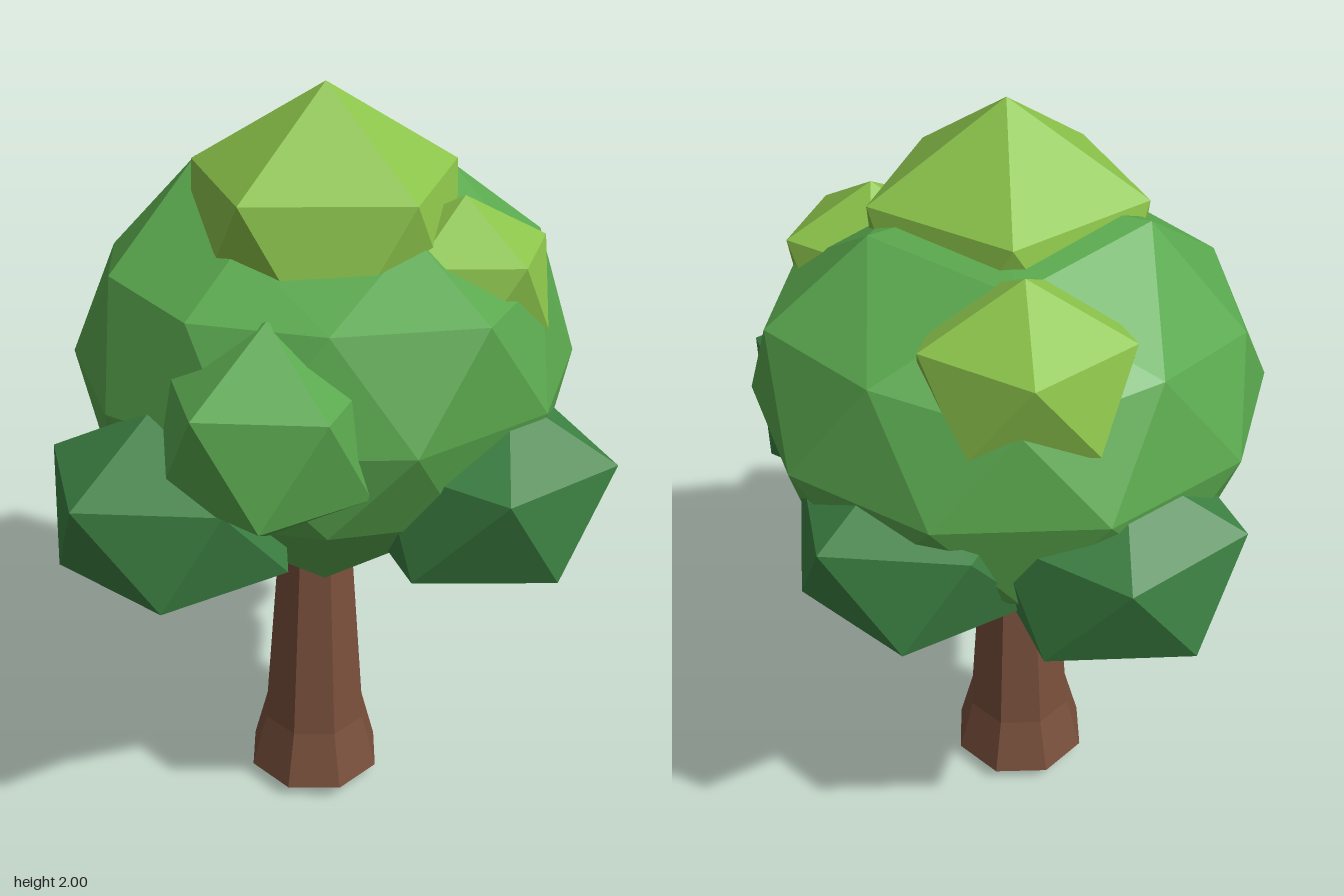
import * as THREE from 'three';

const mat = (name, color) => {
  const m = new THREE.MeshStandardMaterial({ color, flatShading: true });
  m.name = name;
  return m;
};

// Faceted ball with a vertex straight up and its upper ring starting at the given angle from +x
function ball(detail, rx, ry, degrees) {
  const g = new THREE.IcosahedronGeometry(1, detail);
  g.rotateZ(Math.atan(2 / (1 + Math.sqrt(5))));
  g.rotateY(Math.PI - THREE.MathUtils.degToRad(degrees));
  g.scale(rx, ry, rx);
  return g;
}

export function createModel() {
  const tree = new THREE.Group();
  tree.name = 'tree';
  const bark = mat('bark brown', 0x7a503c);
  const leaf = mat('leaf green', 0x5aa84e);
  const shade = mat('deep green', 0x3d8243);
  const sunny = mat('lime green', 0x8bc34a);

  const add = (name, geometry, material, x = 0, y = 0, z = 0) => {
    geometry.computeVertexNormals();
    const mesh = new THREE.Mesh(geometry, material);
    mesh.name = name;
    mesh.position.set(x, y, z);
    tree.add(mesh);
    return mesh;
  };

  // Trunk: flared foot and tapering stem, eight sides
  const turn = Math.PI / 8 + 0.14;
  const foot = new THREE.CylinderGeometry(0.148, 0.19, 0.16, 8).rotateY(turn);
  add('trunkFoot', foot, bark, 0.015, 0.12, -0.025);
  const stem = new THREE.CylinderGeometry(0.09, 0.148, 0.75, 8, 1, true).rotateY(turn);
  add('trunkStem', stem, bark, 0.015, 0.575, -0.025);

  // Root tips under the foot
  for (const [x, z] of [[0.11, -0.07], [-0.04, 0.08], [-0.1, -0.055]]) {
    const tip = new THREE.CylinderGeometry(0.05, 0.015, 0.05, 4);
    add('rootTip', tip, bark, x, 0.03, z);
  }

  // Short branches reaching up into the crown
  const up = new THREE.Vector3(0, 1, 0);
  for (const [x, z] of [[0.04, 0.24], [-0.12, -0.23]]) {
    const start = new THREE.Vector3(0.015, 0.71, -0.01);
    const dir = new THREE.Vector3(x, 0.96, z).sub(start);
    const g = new THREE.CylinderGeometry(0.035, 0.055, dir.length(), 5);
    const branch = add('branch', g, bark);
    branch.position.copy(start).addScaledVector(dir, 0.5);
    branch.quaternion.setFromUnitVectors(up, dir.normalize());
  }

  // Main crown: flat underside, fuller left shoulder, uneven ring of points round the top
  const crown = ball(1, 0.635, 0.5, 0);
  const topRing = [-0.03, -0.05, 0.05, 0, 0.03];
  const p = crown.attributes.position;
  for (let i = 0; i < p.count; i++) {
    const x = p.getX(i), y = p.getY(i), z = p.getZ(i);
    if (y < -0.4) p.setY(i, -0.475);
    else if (y > 0.4 && y < 0.48) {
      const k = Math.round(Math.atan2(z, x) / (Math.PI * 0.4));
      p.setY(i, y + topRing[(k + 5) % 5]);
    } else if (y > 0.1 && y < 0.25 && x > 0.1) {
      p.setXYZ(i, x * 1.06, y + 0.04, z * (z < 0 ? 1.03 : 0.97));
    }
  }
  add('crown', crown, leaf, 0, 1.3, -0.06);

  // Leaf clumps: name, material, centre, horizontal radius, vertical radius, angle, outward lean
  const clumps = [
    ['topClump', sunny, 0.06, 1.62, -0.015, 0.378, 0.38, 0, 0],
    ['upperRightClump', sunny, -0.3, 1.55, -0.25, 0.275, 0.225, -2, 0],
    ['upperLeftClump', sunny, 0.325, 1.55, -0.22, 0.24, 0.21, 0, 0],
    ['middleClump', leaf, 0.315, 1.31, 0.335, 0.28, 0.27, 4, 0],
    ['lowerFrontClump', shade, 0.105, 1.065, 0.475, 0.322, 0.275, 4, 0.17],
    ['lowerLeftClump', shade, 0.485, 1.065, -0.185, 0.325, 0.275, 36, 0.17],
    ['lowerRightClump', shade, -0.47, 1.08, -0.12, 0.33, 0.28, 0, 0.1],
    ['lowerBackClump', shade, -0.15, 1.1, -0.46, 0.322, 0.28, 44, 0.1],
  ];
  for (const [name, m, x, y, z, rx, ry, angle, lean] of clumps) {
    const k = lean / Math.hypot(x, z);
    const shear = new THREE.Matrix4().makeShear(0, 0, x * k, z * k, 0, 0);
    add(name, ball(0, rx, ry, angle).applyMatrix4(shear), m, x, y, z);
  }

  return tree;
}
